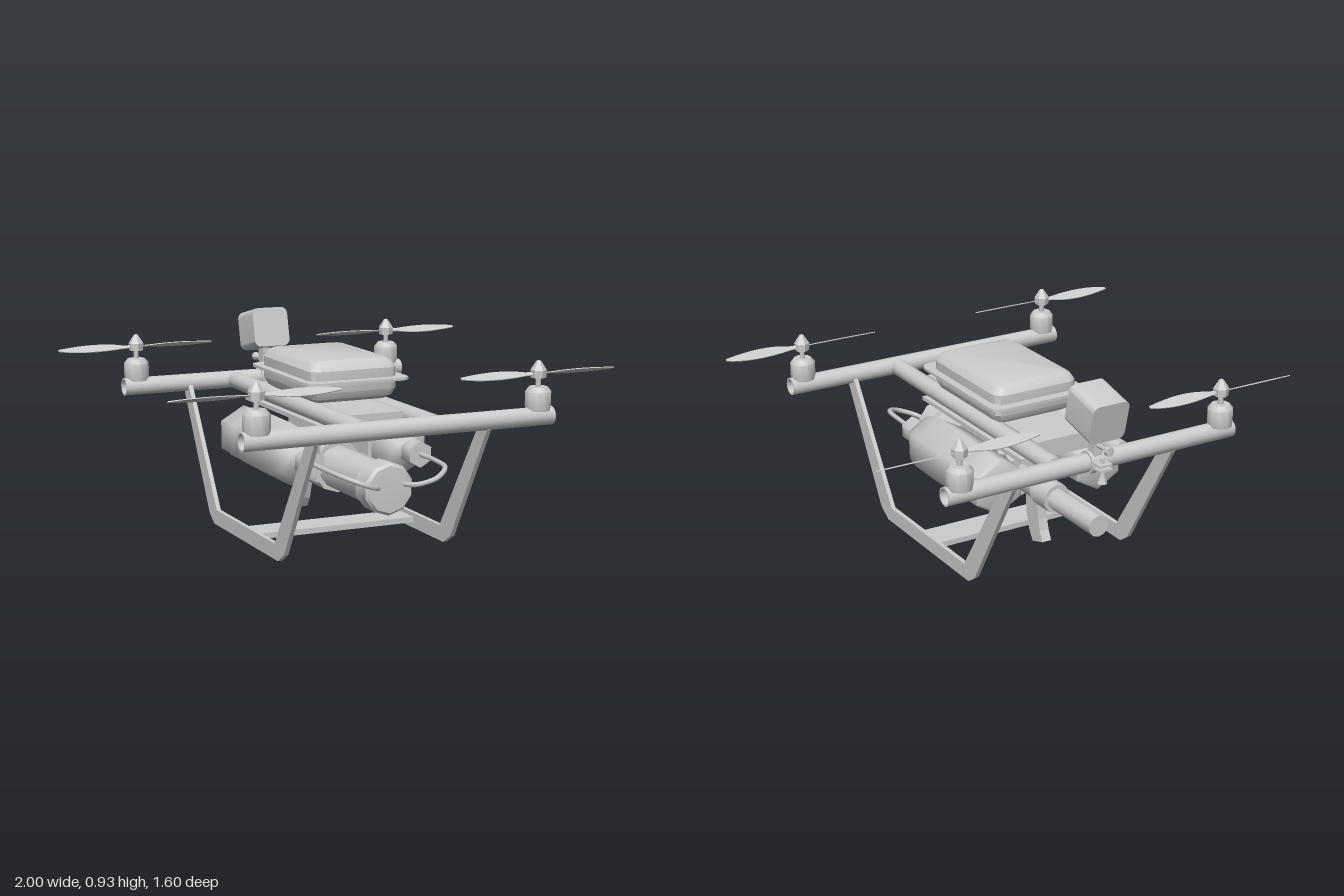
import * as THREE from 'three';
import { toCreasedNormals } from 'three/addons/utils/BufferGeometryUtils.js';

const grey = new THREE.MeshStandardMaterial({ color: 0xcccccc, side: THREE.DoubleSide });
const V = (x, y, z) => new THREE.Vector3(x, y, z);

export function createModel() {
  const root = new THREE.Group();

  const add = (name, geo, pos = [0, 0, 0], parent = root) => {
    const m = new THREE.Mesh(geo, grey);
    m.name = name;
    m.position.set(...pos);
    parent.add(m);
    return m;
  };
  const crease = (geo, angle = 0.7) => toCreasedNormals(geo, angle);
  const box = (name, x, y, z, pos, parent) => add(name, new THREE.BoxGeometry(x, y, z), pos, parent);
  // revolved profile of [radius, height] pairs
  const lathe = (pts, seg, angle) =>
    crease(new THREE.LatheGeometry(pts.map(p => new THREE.Vector2(...p)), seg), angle);
  // side profile of [z, y] pairs, given a width across x
  const slab = (pts, width) => {
    const shape = new THREE.Shape(pts.map(p => new THREE.Vector2(...p)));
    return new THREE.ExtrudeGeometry(shape, { depth: width, bevelEnabled: false })
      .translate(0, 0, -width / 2).rotateY(-Math.PI / 2);
  };
  const roundedRect = (w, h, r) => {
    const s = new THREE.Shape();
    s.moveTo(w - r, -h);
    s.absarc(w - r, h - r, r, 0, Math.PI / 2);
    s.absarc(-w + r, h - r, r, Math.PI / 2, Math.PI);
    s.absarc(-w + r, -h + r, r, Math.PI, Math.PI * 1.5);
    s.absarc(w - r, -h + r, r, Math.PI * 1.5, Math.PI * 2);
    return s;
  };

  // Frame: two open cross tubes joined by two long tubes
  for (const [name, z] of [['frontCrossTube', 0.745], ['rearCrossTube', -0.67]]) {
    const ring = [[0.033, -0.7], [0.04, -0.7], [0.04, 0.7], [0.033, 0.7], [0.033, -0.7]];
    add(name, lathe(ring, 16).rotateZ(Math.PI / 2), [0, 0.594, z]);
  }
  for (const x of [-0.165, 0.165])
    add('longTube', crease(new THREE.CylinderGeometry(0.038, 0.038, 1.352, 16).rotateX(Math.PI / 2)), [x, 0.594, 0.037]);

  // Electronics tray and its flat box
  box('trayPlate', 0.4, 0.018, 0.85, [0, 0.546, -0.005]);
  box('batteryBox', 0.25, 0.06, 0.94, [0, 0.585, 0.037]);
  for (const x of [-0.122, 0.122])
    box('hangerPlate', 0.018, 0.28, 0.3, [x, 0.41, 0.05]);

  // Canopy: rounded rectangle sections stacked upward
  const loft = (sections) => {
    const pos = [], idx = [];
    let n = 0;
    sections.forEach(([y, w, d, r]) => {
      const ring = [];
      for (let c = 0; c < 4; c++) for (let k = 0; k <= 3; k++) {
        const a = (c + k / 3) * Math.PI / 2;
        const sx = c === 0 || c === 3 ? 1 : -1, sz = c < 2 ? 1 : -1;
        ring.push([sx * (w - r) + r * Math.cos(a), y, sz * (d - r) + r * Math.sin(a)]);
      }
      n = ring.length;
      ring.forEach(p => pos.push(...p));
    });
    for (let s = 0; s < sections.length - 1; s++) for (let i = 0; i < n; i++) {
      const a = s * n + i, b = s * n + (i + 1) % n;
      idx.push(a, a + n, b, b, a + n, b + n);
    }
    const top = (sections.length - 1) * n;
    for (let i = 1; i < n - 1; i++) idx.push(0, i, i + 1, top, top + i + 1, top + i);
    const g = new THREE.BufferGeometry();
    g.setAttribute('position', new THREE.Float32BufferAttribute(pos, 3));
    g.setIndex(idx);
    return crease(g, 0.5);
  };
  add('canopy', loft([
    [0.632, 0.165, 0.24, 0.03], [0.648, 0.19, 0.265, 0.04], [0.678, 0.205, 0.28, 0.05],
    [0.77, 0.205, 0.28, 0.05], [0.797, 0.188, 0.262, 0.04], [0.81, 0.165, 0.24, 0.03],
  ]), [0, 0, 0.037]);
  add('canopyFlange', loft([[0.718, 0.24, 0.328, 0.05], [0.73, 0.24, 0.328, 0.05]]), [0, 0, 0.041]);

  // Landing gear: a bent flat leg per side and a plate between them
  const legProfile = [
    [0.77, 0.56], [0.465, 0.04], [0.4, 0], [-0.33, 0], [-0.385, 0.04], [-0.69, 0.558],
    [-0.665, 0.558], [-0.633, 0.588], [-0.295, 0.068], [0.365, 0.068], [0.71, 0.588], [0.74, 0.557],
  ];
  for (const x of [-0.39, 0.39]) add('landingLeg', slab(legProfile, 0.02), [x, 0, 0]);
  box('legCrossPlate', 0.77, 0.025, 0.15, [0, 0.038, 0.045]);

  // Rotors: motor, shaft, spinner and two pitched blades
  const blade = new THREE.Shape();
  blade.moveTo(0, -0.008);
  blade.lineTo(0.06, -0.012);
  blade.bezierCurveTo(0.14, -0.04, 0.24, -0.036, 0.365, -0.008);
  blade.lineTo(0.365, 0.004);
  blade.bezierCurveTo(0.3, 0.03, 0.18, 0.034, 0.06, 0.012);
  blade.lineTo(0, 0.008);
  const bladeGeo = new THREE.ExtrudeGeometry(blade, { depth: 0.004, bevelEnabled: false, curveSegments: 8 })
    .translate(0, 0, -0.002).rotateX(-Math.PI / 2);
  for (const sx of [-1, 1]) for (const sz of [-1, 1]) {
    const rotor = new THREE.Group();
    rotor.name = 'rotor';
    rotor.position.set(sx * 0.635, 0, sz > 0 ? 0.745 : -0.68);
    root.add(rotor);
    add('motor', lathe([[0, 0.62], [0.052, 0.62], [0.056, 0.64], [0.056, 0.7], [0.04, 0.72], [0, 0.72]], 10), [0, 0, 0], rotor);
    add('shaft', new THREE.CylinderGeometry(0.012, 0.012, 0.06, 8), [0, 0.74, 0], rotor);
    add('spinner', lathe([[0, 0.757], [0.032, 0.757], [0.034, 0.79], [0.01, 0.828], [0, 0.832]], 6, 0.4), [0, 0, 0], rotor);
    for (const turn of [0, Math.PI]) {
      const arm = new THREE.Group();
      arm.name = 'bladeArm';
      arm.rotation.y = turn;
      arm.position.y = 0.775;
      rotor.add(arm);
      add('blade', bladeGeo, [0, 0, 0], arm).rotation.x = -sx * sz * 0.42;
    }
  }

  // Side tanks with caps and feed hoses
  const tank = [
    [0, -0.345], [0.11, -0.345], [0.125, -0.335], [0.128, -0.23], [0.134, -0.2], [0.122, -0.165],
    [0.134, -0.11], [0.138, 0], [0.137, 0.18], [0.124, 0.25], [0.1, 0.3], [0.06, 0.33], [0.045, 0.36], [0, 0.36],
  ];
  for (const s of [-1, 1]) {
    add('tank', lathe(tank, 6, 1.15).rotateX(Math.PI / 2), [s * 0.25, 0.405, 0]);
    add('tankCap', crease(new THREE.CylinderGeometry(0.058, 0.058, 0.08, 6).rotateX(Math.PI / 2), 1.15), [s * 0.25, 0.405, 0.393]);
    const path = new THREE.CatmullRomCurve3([
      V(s * 0.25, 0.405, 0.42), V(s * 0.25, 0.405, 0.57), V(s * 0.23, 0.398, 0.69),
      V(s * 0.16, 0.37, 0.742), V(s * 0.09, 0.345, 0.71), V(s * 0.06, 0.335, 0.63),
    ]);
    add('hose', new THREE.TubeGeometry(path, 28, 0.011, 6), [0, 0, 0]);
  }

  // Central pod: stepped body, rear pipe and curved grip
  const pod = [
    [0, -0.72], [0.048, -0.72], [0.048, -0.4], [0.066, -0.4], [0.066, -0.28], [0.055, -0.28], [0.055, -0.11],
    [0.095, -0.11], [0.095, -0.05], [0.115, -0.05], [0.115, 0.14], [0.095, 0.14], [0.095, 0.53],
    [0.112, 0.535], [0.112, 0.63], [0.1, 0.645], [0, 0.65],
  ];
  add('centralPod', lathe(pod, 10, 0.65).rotateX(Math.PI / 2), [0, 0.318, 0]);
  add('curvedGrip', slab([
    [-0.18, 0.3], [-0.188, 0.18], [-0.212, 0.105], [-0.24, 0.06], [-0.32, 0.085],
    [-0.298, 0.13], [-0.285, 0.18], [-0.272, 0.3],
  ], 0.045));

  // Rear camera on a clamp
  const cam = new THREE.ExtrudeGeometry(roundedRect(0.087, 0.09, 0.03), { depth: 0.184, bevelEnabled: false, curveSegments: 4 })
    .translate(0, 0, -0.092);
  add('camera', crease(cam), [0, 0.818, -0.69]).rotation.x = -0.23;
  const clamp = [[0.04, -0.035], [0.05, -0.035], [0.05, 0.035], [0.04, 0.035], [0.04, -0.035]];
  add('clampRing', lathe(clamp, 14).rotateZ(Math.PI / 2), [0, 0.594, -0.67]);
  box('cameraArm', 0.04, 0.12, 0.05, [0, 0.685, -0.68]);
  for (const y of [0.583, 0.603]) box('clampTab', 0.06, 0.01, 0.07, [0, y, -0.73]);
  add('clampScrew', lathe([[0, 0.52], [0.022, 0.52], [0.008, 0.56], [0.008, 0.63], [0, 0.63]], 8), [0, 0, -0.738]);
  const knob = lathe([[0, -0.08], [0.02, -0.08], [0.02, -0.06], [0.01, -0.04], [0.01, 0.04], [0, 0.04]], 8);
  add('armKnob', knob.rotateX(Math.PI / 2), [0, 0.675, -0.712]);

  return root;
}
